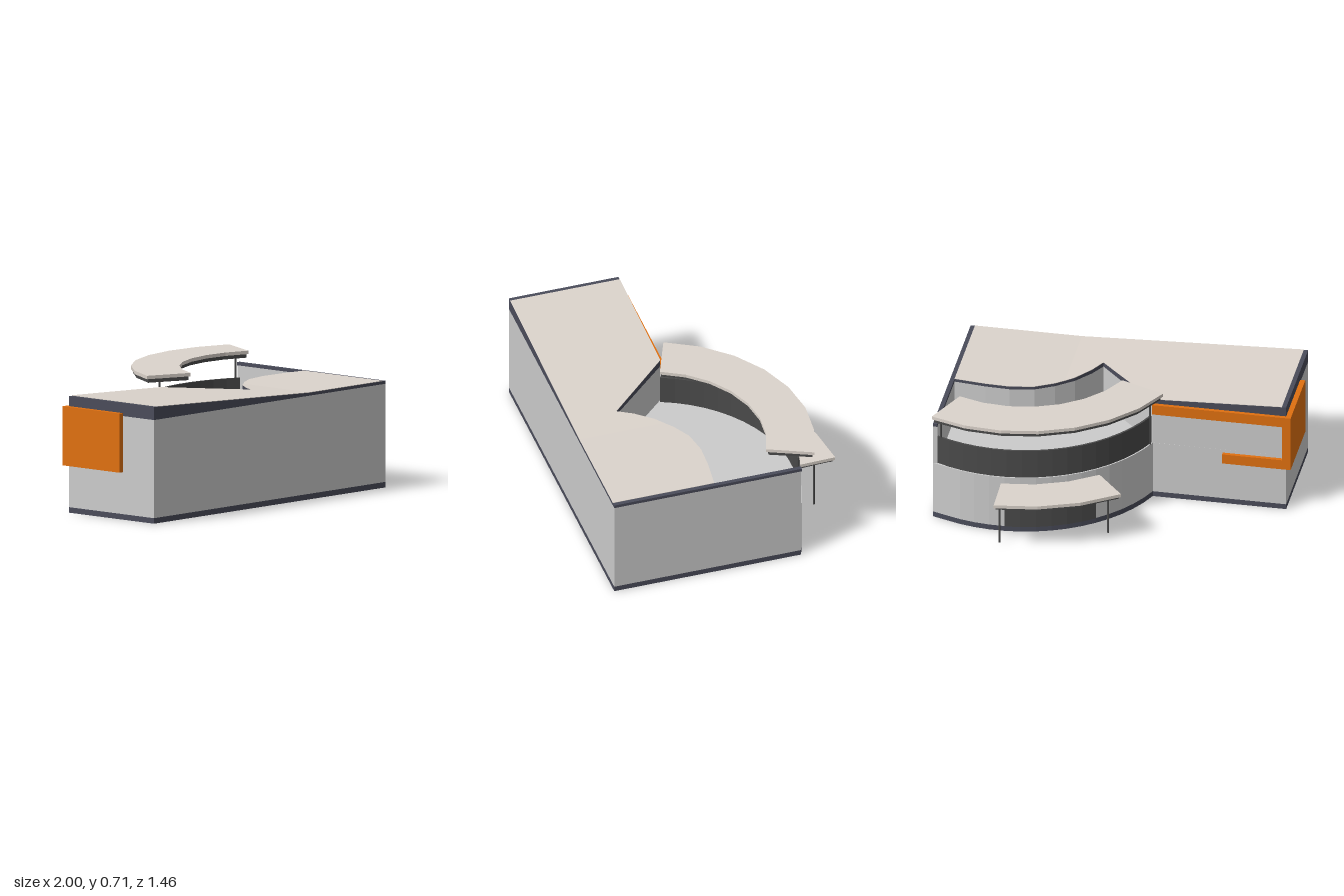
import * as THREE from 'three';

const material = (color) => new THREE.MeshStandardMaterial({ color, flatShading: true, side: THREE.DoubleSide });
const CX = 0.61, CZ = 0.38; // shared centre of all curved parts
const WALL_START = 68.8, WALL_STEP = 5.99, WALL_SEGS = 16, WALL_R = 0.86;

// point on an arc, angle in degrees from the back (-z) towards -x
function polar(r, deg) {
  const a = THREE.MathUtils.degToRad(deg);
  return [CX - r * Math.sin(a), CZ - r * Math.cos(a)];
}
function arc(r, a0, a1, n) {
  return Array.from({ length: n + 1 }, (_, i) => polar(r, a0 + (a1 - a0) * i / n));
}
// upright prism over a plan outline of [x, z] points
function slab(outline, y0, y1) {
  const shape = new THREE.Shape(outline.map(([x, z]) => new THREE.Vector2(x, -z)));
  const g = new THREE.ExtrudeGeometry(shape, { depth: y1 - y0, bevelEnabled: false });
  return g.rotateX(-Math.PI / 2).translate(0, y0, 0);
}
function ring(r0, r1, a0, a1, n, y0, y1) {
  return slab([...arc(r1, a0, a1, n), ...arc(r0, a1, a0, n)], y0, y1);
}
function box(x0, x1, y0, y1, z0, z1) {
  return new THREE.BoxGeometry(x1 - x0, y1 - y0, z1 - z0)
    .translate((x0 + x1) / 2, (y0 + y1) / 2, (z0 + z1) / 2);
}
// tilt the top of the roof: flat on the right, rising to the left
function tilt(g, above) {
  const p = g.attributes.position;
  for (let i = 0; i < p.count; i++) {
    if (p.getY(i) > above) p.setY(i, p.getY(i) + Math.max(0, 0.35 - p.getX(i)) * 0.044);
  }
  g.computeVertexNormals();
  return g;
}

export function createModel() {
  const model = new THREE.Group();
  const grey = material(0xcccccc), beige = material(0xdcd4cc), trim = material(0x4a4c5a);
  const dark = material(0x4a4a4a), orange = material(0xe07010);
  const add = (name, g, mat, parent = model) => {
    const m = new THREE.Mesh(g, mat);
    m.name = name;
    parent.add(m);
    return m;
  };

  // plan outlines
  const wallEnd = WALL_START - WALL_STEP * WALL_SEGS;
  const curve = arc(WALL_R, WALL_START, wallEnd, WALL_SEGS);
  curve[WALL_SEGS] = [1, -0.395];
  const footprint = [[-0.97, 0.73], [-0.97, 0.07], ...curve, [1, 0.73]];
  const edgeLeft = [[-0.19, 0.07], [0.17, 0.45], [0.22, 0.36], [0.3, 0.26], [0.35, 0.22]];
  const edgeRight = [[0.35, 0.22], [0.4, 0.18], [0.51, 0.12], [0.65, 0.095], [0.79, 0.1], [0.975, 0.12]];
  const upper = [[-0.97, 0.73], [-0.97, 0.07], ...edgeLeft, ...edgeRight.slice(1), [0.975, 0.73]];

  // walls
  add('basePlinth', slab(footprint, 0, 0.032), trim);
  add('lowerStorey', slab(footprint, 0.032, 0.355), grey);
  add('upperStorey', slab(upper, 0.355, 0.6), grey);
  add('sideWall', box(0.975, 1, 0.355, 0.6, -0.395, 0.73), grey);
  add('sideWallCap', box(0.975, 1, 0.6, 0.618, -0.4, 0.73), trim);

  // skirting along the terrace wall
  const skirt = [...edgeLeft.slice(1), ...edgeRight.slice(1)];
  add('terraceSkirting', slab([...skirt, ...skirt.map(([x, z]) => [x, z - 0.008]).reverse()], 0.355, 0.375), trim);

  // roof: dark edge with a pale covering
  const roofLeft = (x) => [[x, 0.73], [x, 0.07], ...edgeLeft, [0.35, 0.73]];
  const roofRight = [[0.35, 0.73], ...edgeRight, [0.975, 0.73]];
  add('slopedRoofEdge', tilt(slab(roofLeft(-0.97), 0.6, 0.617), 0.61), trim);
  add('flatRoofEdge', slab(roofRight, 0.6, 0.617), trim);
  add('slopedRoofCover', tilt(slab(roofLeft(-0.945), 0.6175, 0.62), 0.61), beige);
  add('flatRoofCover', slab(roofRight, 0.6175, 0.62), beige);

  // dark terrace parapet and entrance glazing
  add('terraceParapet', ring(0.84, 0.852, WALL_START, wallEnd + 1, WALL_SEGS, 0.355, 0.53), dark);
  add('entranceDoor', ring(0.85, 0.864, WALL_START - 5 * WALL_STEP, WALL_START - 11 * WALL_STEP, 6, 0.032, 0.29), dark);

  // curved canopy: slab, rim beams, radial ribs and posts
  function canopy(name, r0, r1, a0, a1, n, y, frame, roof, posts, foot) {
    const group = new THREE.Group();
    group.name = name;
    add('canopySlab', ring(r0, r1, a0, a1, n, y + frame, y + frame + roof), beige, group);
    const i0 = r0 + 0.012, i1 = r1 - 0.012, w = 0.014;
    add('innerBeam', ring(i0, i0 + w, a0 - 0.5, a1 + 0.5, n, y, y + frame), dark, group);
    add('outerBeam', ring(i1 - w, i1, a0 - 0.5, a1 + 0.5, n, y, y + frame), dark, group);
    for (let i = 0; i <= n; i++) {
      const a = THREE.MathUtils.lerp(a0 - 1, a1 + 1, i / n);
      const rib = add('rib', new THREE.BoxGeometry(w, frame, i1 - i0 - w), dark, group);
      const [x, z] = polar((i0 + i1) / 2, a);
      rib.position.set(x, y + frame / 2, z);
      rib.rotation.y = THREE.MathUtils.degToRad(a);
    }
    for (const [r, a] of posts) {
      const [x, z] = polar(r, a);
      add('post', new THREE.CylinderGeometry(0.006, 0.006, y - foot, 8).translate(x, (y + foot) / 2, z), dark, group);
    }
    model.add(group);
  }
  canopy('terraceCanopy', 0.66, 0.938, 68, -24, 7, 0.67, 0.022, 0.02, [[0.855, 67.5], [0.845, -24]], 0.355);
  canopy('entranceCanopy', 0.865, 1.115, 40.3, 1.5, 3, 0.282, 0.014, 0.02, [[0.99, 2.3], [0.99, 39.5]], 0);

  // orange bracket wrapping the rear corner
  const band = new THREE.Shape([[-1, 0.275], [-0.6, 0.275], [-0.6, 0.335], [-0.95, 0.335], [-0.95, 0.555],
    [-0.19, 0.555], [-0.19, 0.617], [-1, 0.617]].map(([x, y]) => new THREE.Vector2(x, y)));
  add('accentBracket', new THREE.ExtrudeGeometry(band, { depth: 0.022, bevelEnabled: false }).translate(0, 0, 0.048), orange);
  add('accentSidePanel', box(-1, -0.97, 0.275, 0.617, 0.07, 0.49), orange);

  return model;
}
